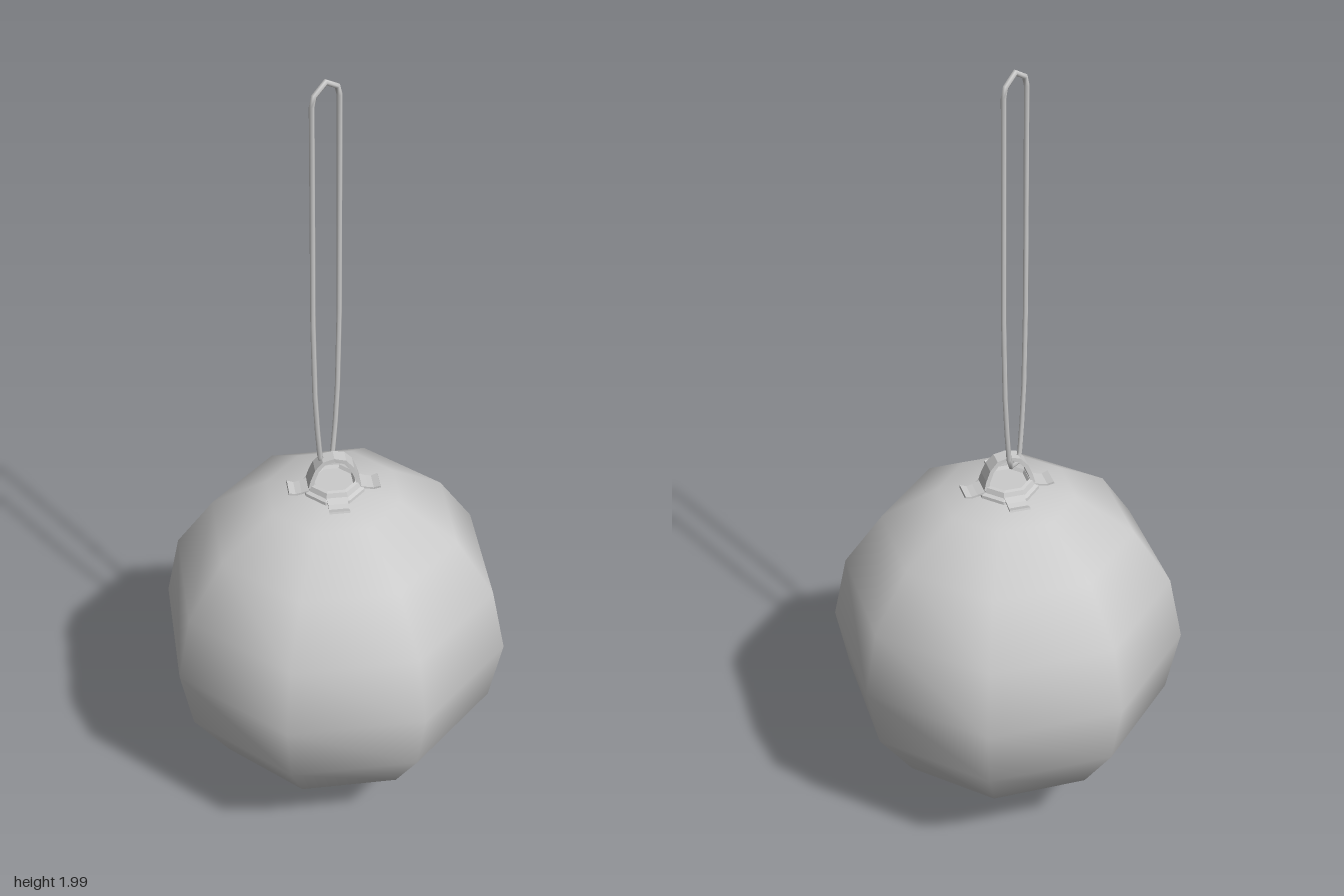
import * as THREE from 'three';

const smooth = new THREE.MeshStandardMaterial({ color: 0xcccccc });
const faceted = new THREE.MeshStandardMaterial({ color: 0xcccccc, flatShading: true });
const MID = 0.515; // height of the ball's centre

// Sweeps an n-sided section along points [x, y, depth] in the xy plane, mitred at corners.
function sweep(points, thickness, sides, closed) {
  const n = points.length, pos = [], index = [];
  const p = points.map(([x, y]) => new THREE.Vector2(x, y));
  const stretch = 1 / Math.cos(Math.PI / sides);
  const dir = (a, b) => p[b].clone().sub(p[a]).normalize();
  for (let i = 0; i < n; i++) {
    const hasNext = closed || i < n - 1, hasPrev = closed || i > 0;
    const out = hasNext ? dir(i, (i + 1) % n) : dir(i - 1, i);
    const into = hasPrev ? dir((i + n - 1) % n, i) : out;
    const t = into.clone().add(out).normalize();
    const mitre = 1 / Math.max(0.6, t.dot(out));
    for (let k = 0; k < sides; k++) {
      const a = ((k + 0.5) / sides) * Math.PI * 2;
      const r = Math.cos(a) * stretch * mitre * thickness / 2;
      pos.push(p[i].x - t.y * r, p[i].y + t.x * r, Math.sin(a) * stretch * points[i][2] / 2);
    }
  }
  for (let i = 0; i < (closed ? n : n - 1); i++) {
    const j = (i + 1) % n;
    for (let k = 0; k < sides; k++) {
      const m = (k + 1) % sides;
      const a = i * sides + k, b = i * sides + m, c = j * sides + m, d = j * sides + k;
      index.push(a, b, c, a, c, d);
    }
  }
  if (!closed) {
    const e = (n - 1) * sides;
    for (let k = 1; k < sides - 1; k++) index.push(0, k + 1, k, e, e + k, e + k + 1);
  }
  const g = new THREE.BufferGeometry();
  g.setAttribute('position', new THREE.Float32BufferAttribute(pos, 3));
  g.setIndex(index);
  g.computeVertexNormals();
  return g;
}

function part(name, geometry, material) {
  const mesh = new THREE.Mesh(geometry, material);
  mesh.name = name;
  return mesh;
}

// Extends a half path (x > 0 side, ending on the axis) to both sides.
const mirrored = half => [...half, ...half.slice(0, -1).reverse().map(([x, y, w]) => [-x, y, w])];

// Eight-sided cap with four tabs and an arched eyelet; heights are from the ball's centre.
function makeCap(name) {
  const cap = new THREE.Group();
  cap.name = name;
  const profile = [[0.077, 0.408], [0.075, 0.42], [0.066, 0.424], [0.061, 0.436],
    [0.053, 0.438], [0.048, 0.43], [0, 0.43]].map(([x, y]) => new THREE.Vector2(x, y));
  // Flat sides face the tabs; the outline is listed from the rim inward.
  const collar = new THREE.LatheGeometry(profile, 8, Math.PI / 8);
  cap.add(part('collar', collar, faceted));
  for (let i = 0; i < 4; i++) {
    const tab = part('tab', sweep([[0.06, 0.423, 0.05], [0.078, 0.417, 0.046],
      [0.093, 0.414, 0.046], [0.109, 0.419, 0.05]], 0.005, 4, false), faceted);
    tab.rotation.y = i * Math.PI / 2;
    cap.add(tab);
  }
  const arch = mirrored([[0.058, 0.428, 0.05], [0.052, 0.45, 0.045], [0.042, 0.475, 0.04],
    [0.025, 0.494, 0.035], [0, 0.5, 0.032]]);
  cap.add(part('eyelet', sweep(arch, 0.01, 4, false), faceted));
  cap.position.y = MID;
  return cap;
}

export function createModel() {
  const model = new THREE.Group();
  model.name = 'hangingBauble';

  // Ball
  const ball = part('ball', new THREE.SphereGeometry(0.428, 8, 8), smooth);
  ball.position.y = MID;
  model.add(ball);

  // Caps at both poles
  const topCap = makeCap('topCap');
  topCap.rotation.y = Math.PI / 8;
  const bottomCap = makeCap('bottomCap');
  bottomCap.rotation.x = Math.PI;
  model.add(topCap, bottomCap);

  // Hanging cord threaded through the top eyelet
  const d = 0.011;
  const side = [[0.012, 0.996], [0.021, 1.02], [0.029, 1.1], [0.036, 1.2], [0.041, 1.4],
    [0.041, 1.95], [0.034, 1.973]].map(([x, y]) => [x, y, d]);
  const loop = [...side, [0, 1.994, d], ...side.slice().reverse().map(([x, y]) => [-x, y, d])];
  const cord = part('cord', sweep(loop, d, 6, true), smooth);
  cord.rotation.y = 1.03;
  cord.position.set(-0.018, 0, -0.004);
  model.add(cord);

  return model;
}
